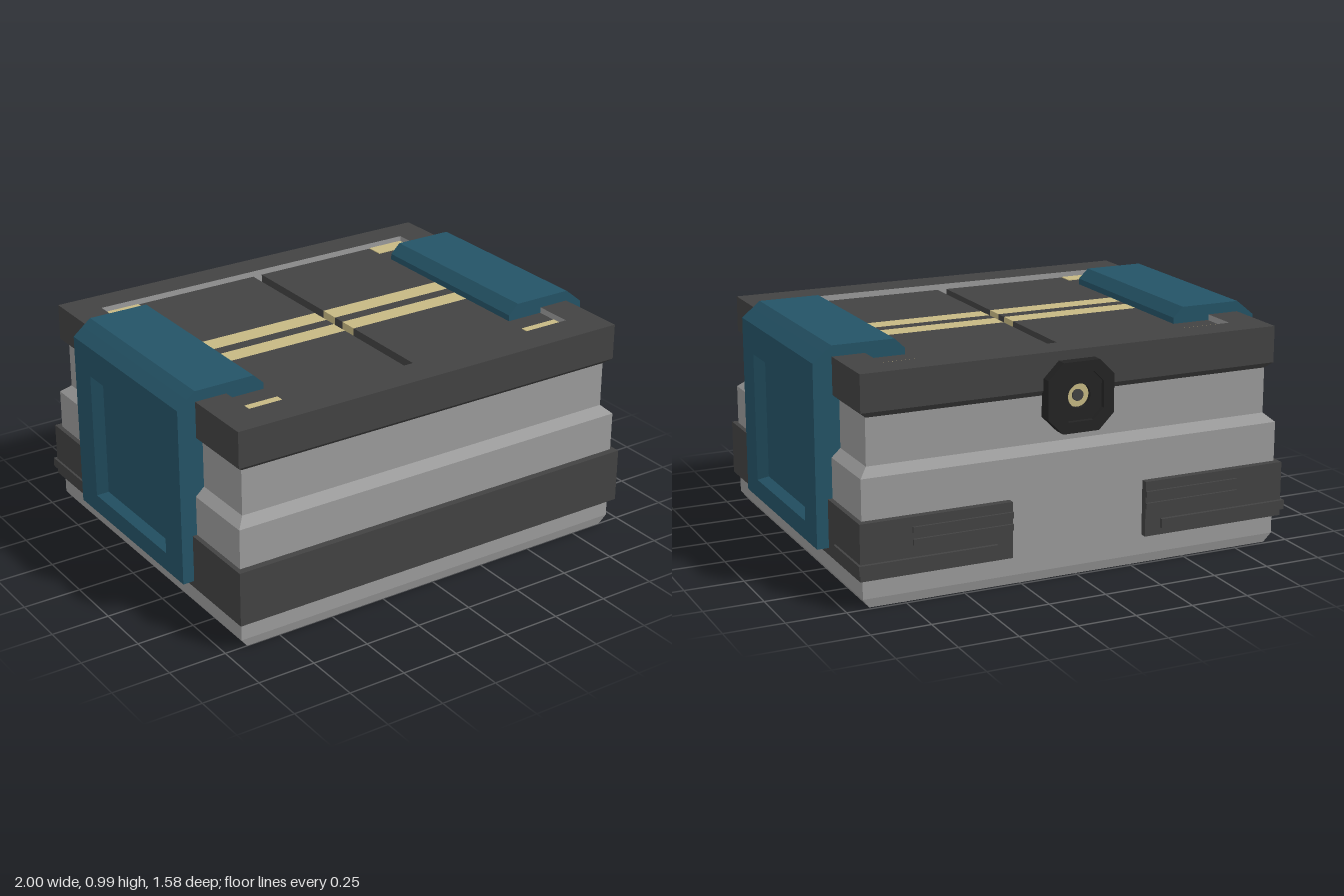
import * as THREE from 'three';

const material = (name, color) => {
  const m = new THREE.MeshStandardMaterial({ color });
  m.name = name;
  return m;
};

// Joins rectangular rings [y, x0, x1, z0, z1] into a flat-faced shell.
function loft(rings, startCap = true, endCap = true) {
  const pos = [];
  const loops = rings.map(([y, x0, x1, z0, z1]) => [[x0, y, z0], [x0, y, z1], [x1, y, z1], [x1, y, z0]]);
  const quad = (a, b, c, d) => pos.push(...a, ...b, ...c, ...a, ...c, ...d);
  for (let k = 0; k + 1 < loops.length; k++) {
    for (let i = 0; i < 4; i++) {
      const j = (i + 1) % 4;
      quad(loops[k][i], loops[k][j], loops[k + 1][j], loops[k + 1][i]);
    }
  }
  if (startCap) quad(...[...loops[0]].reverse());
  if (endCap) quad(...loops[loops.length - 1]);
  const g = new THREE.BufferGeometry();
  g.setAttribute('position', new THREE.Float32BufferAttribute(pos, 3));
  g.computeVertexNormals();
  return g;
}

const polygon = (points) => new THREE.Shape(points.map(([x, y]) => new THREE.Vector2(x, y)));
const extrude = (shape, depth) => new THREE.ExtrudeGeometry(shape, { depth, bevelEnabled: false, curveSegments: 16 });
const octagon = (r, c) => [[r, -c], [r, c], [c, r], [-c, r], [-r, c], [-r, -c], [-c, -r], [c, -r]];

export function createModel() {
  const model = new THREE.Group();
  model.name = 'crate';
  const grey = material('light grey', 0x9a9a9a);
  const dark = material('dark grey', 0x424242);
  const teal = material('teal', 0x245366);
  const gold = material('pale gold', 0xc6b883);
  const black = material('near black', 0x242424);

  const add = (parent, name, geometry, mat) => {
    const mesh = new THREE.Mesh(geometry, mat);
    mesh.name = name;
    parent.add(mesh);
    return mesh;
  };
  // Box given by its limits
  const slab = (parent, name, mat, x0, x1, y0, y1, z0, z1) => {
    const g = new THREE.BoxGeometry(Math.abs(x1 - x0), y1 - y0, z1 - z0);
    g.translate((x0 + x1) / 2, (y0 + y1) / 2, (z0 + z1) / 2);
    return add(parent, name, g, mat);
  };

  // Stepped body
  add(model, 'body', loft([
    [0, -0.9, 0.9, -0.735, 0.75],
    [0.04, -0.93, 0.93, -0.745, 0.76],
    [0.53, -0.93, 0.93, -0.745, 0.76],
    [0.565, -0.892, 0.892, -0.705, 0.72],
    [0.77, -0.892, 0.892, -0.705, 0.72],
  ]), grey);

  // Top rim and the well inside it
  add(model, 'rim', loft([
    [0.76, -0.89, 0.89, -0.705, 0.72],
    [0.785, -0.92, 0.92, -0.73, 0.75],
    [0.94, -0.92, 0.92, -0.73, 0.75],
    [0.94, -0.78, 0.78, -0.6, 0.6],
  ], true, false), dark);
  add(model, 'well', loft([
    [0.94, -0.78, 0.78, -0.6, 0.6],
    [0.87, -0.78, 0.78, -0.6, 0.6],
  ], false, true), grey);

  // Lower band: wraps the front, sides and back corners, open mid-back
  const bandShape = polygon([
    [0.3, 0.775], [0.95, 0.775], [0.95, -0.79], [-0.95, -0.79], [-0.95, 0.775], [-0.3, 0.775],
    [-0.3, 0.72], [-0.9, 0.72], [-0.9, -0.73], [0.9, -0.73], [0.9, 0.72], [0.3, 0.72],
  ]);
  const band = extrude(bandShape, 0.235);
  band.rotateX(-Math.PI / 2);
  band.translate(0, 0.125, 0);
  add(model, 'lowerBand', band, dark);

  for (const s of [1, -1]) {
    const side = s > 0 ? 'left' : 'right';

    // Lid doors in strips from back to front, gold strips across the middle
    const door = new THREE.Group();
    door.name = side + 'Door';
    model.add(door);
    const cuts = [-0.6, -0.1, -0.01, 0.045, 0.13, 0.6];
    for (let i = 0; i < 5; i++) {
      slab(door, i % 2 ? 'doorStripe' : 'doorPanel', i % 2 ? gold : dark,
        s * 0.022, s * 0.779, 0.868, 0.915, cuts[i], cuts[i + 1]);
    }
    for (const [z0, z1] of [[-0.599, -0.52], [0.525, 0.599]]) {
      slab(door, 'cornerMark', gold, s * 0.605, s * 0.778, 0.913, 0.918, z0, z1);
    }

    // Ribs on the back corners
    const ribs = new THREE.Group();
    ribs.name = side + 'BackRibs';
    model.add(ribs);
    for (const y of [0.295, 0.245]) {
      slab(ribs, 'shortRib', dark, s * 0.3, s * 0.73, y, y + 0.025, -0.785, -0.77);
    }
    slab(ribs, 'longRib', dark, s * 0.37, s * 0.96, 0.155, 0.195, -0.79, -0.77);
    slab(ribs, 'sideRib', dark, s * 0.94, s * 0.96, 0.155, 0.195, -0.77, -0.51);

    // Clasp: bent bracket plus a face plate with a bevelled recess
    const clasp = new THREE.Group();
    clasp.name = side + 'Clasp';
    const w = 0.432;
    const bracket = extrude(polygon([
      [0.88, 0.155], [0.955, 0.155], [0.955, 0.957], [0.92, 0.985],
      [0.655, 0.985], [0.61, 0.942], [0.61, 0.916], [0.88, 0.916],
    ]), 2 * w);
    bracket.translate(0, 0, -w);
    add(clasp, 'claspBracket', bracket, teal);
    const plate = loft([
      [0.955, -0.957, -0.155, -w, w],
      [1, -0.92, -0.155, -w, w],
      [1, -0.79, -0.235, -0.298, 0.298],
      [0.96, -0.765, -0.255, -0.265, 0.265],
    ], false, true);
    plate.rotateZ(-Math.PI / 2);
    plate.rotateX(0);
    add(clasp, 'claspFace', plate, teal);
    if (s < 0) clasp.rotation.y = Math.PI;
    model.add(clasp);
  }

  // Octagonal lock on the back
  const lock = new THREE.Group();
  lock.name = 'lock';
  lock.position.set(0, 0.755, -0.715);
  lock.rotation.y = Math.PI;
  model.add(lock);
  const frame = polygon(octagon(0.146, 0.08));
  frame.holes.push(new THREE.Path(octagon(0.1, 0.055).map(([x, y]) => new THREE.Vector2(x, y))));
  add(lock, 'lockFrame', extrude(frame, 0.06), black);
  const face = polygon(octagon(0.105, 0.058));
  face.holes.push(new THREE.Path().absarc(0, 0, 0.05, 0, Math.PI * 2, true));
  add(lock, 'lockFace', extrude(face, 0.04), black);
  const disc = (name, r, z0, z1, mat) => {
    const g = new THREE.CylinderGeometry(r, r, z1 - z0, 20);
    g.rotateX(Math.PI / 2);
    g.translate(0, 0, (z0 + z1) / 2);
    add(lock, name, g, mat);
  };
  disc('lockPlate', 0.055, 0, 0.022, gold);
  disc('lockPin', 0.024, 0.022, 0.03, dark);

  return model;
}
